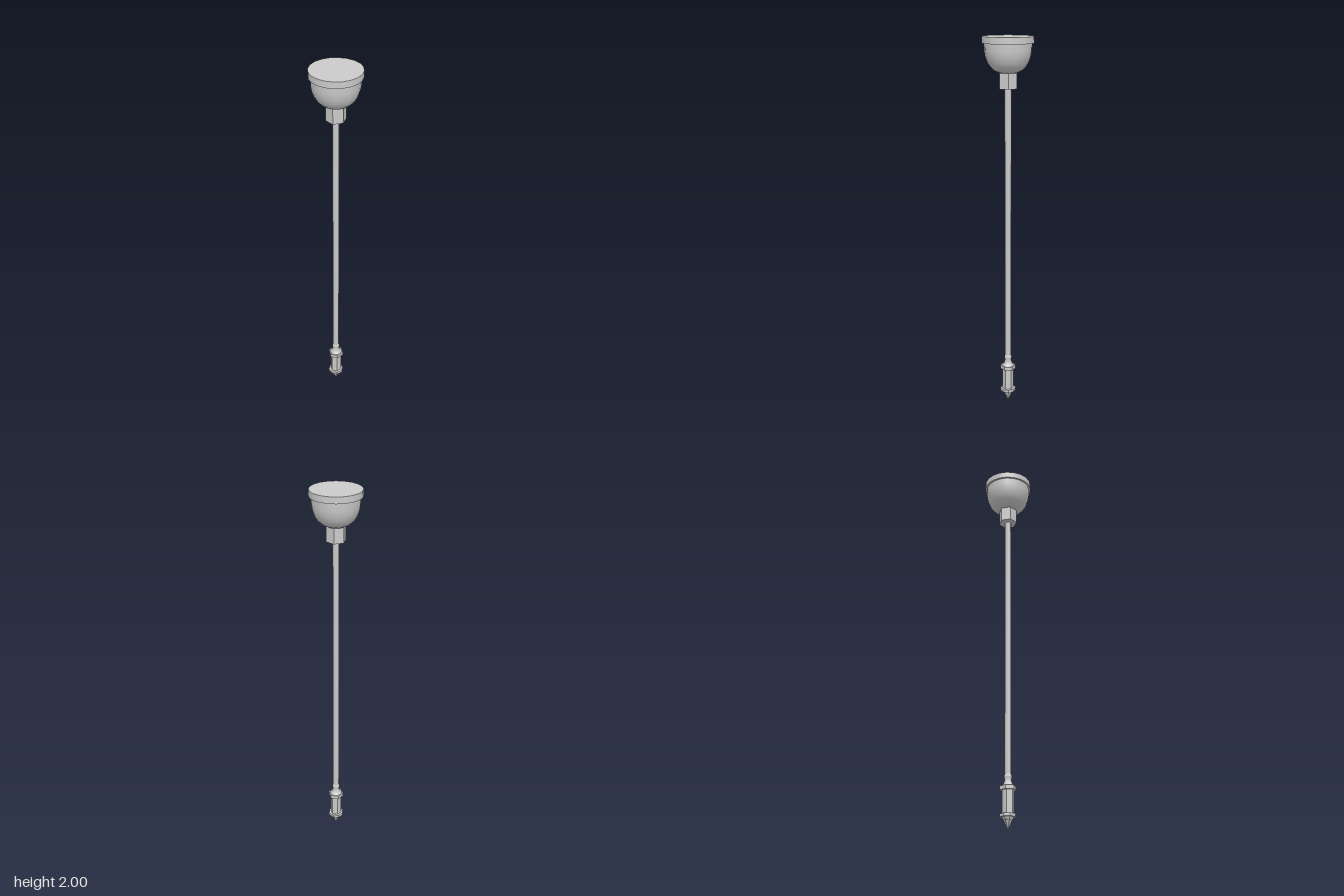
import * as THREE from 'three';

const smooth = new THREE.MeshStandardMaterial({ color: 0xcccccc });
const faceted = new THREE.MeshStandardMaterial({ color: 0xcccccc, flatShading: true });

export function createModel() {
  const group = new THREE.Group();

  const add = (name, geometry, material) => {
    const mesh = new THREE.Mesh(geometry, material);
    mesh.name = name;
    group.add(mesh);
    return mesh;
  };

  // Upright prism or cone between two heights
  const prism = (name, rTop, rBottom, y0, y1, sides, material = faceted, turn = 0) => {
    const geometry = new THREE.CylinderGeometry(rTop, rBottom, y1 - y0, sides, 1, false, turn);
    add(name, geometry, material).position.y = (y0 + y1) / 2;
  };

  // Turned part from [radius, height] pairs, listed bottom to top
  const lathe = (name, profile, sides) =>
    add(name, new THREE.LatheGeometry(profile.map(([r, y]) => new THREE.Vector2(r, y)), sides), smooth);

  // Ceiling canopy: rim plate, rounded bowl and hexagonal collar
  prism('canopyRim', 0.132, 0.132, 1.966, 2, 20, smooth);
  lathe('canopyBowl', [
    [0, 1.818], [0.05, 1.82], [0.073, 1.832], [0.092, 1.85], [0.106, 1.872],
    [0.116, 1.9], [0.121, 1.93], [0.122, 1.968],
  ], 20);
  prism('collar', 0.051, 0.051, 1.74, 1.825, 6, faceted, Math.PI / 6);

  // Long hanging rod
  prism('rod', 0.017, 0.017, 0.25, 1.75, 8, smooth);

  // Bead and flared neck above the finial
  lathe('neck', [
    [0.034, 0.212], [0.026, 0.219], [0.02, 0.232], [0.017, 0.247],
    [0.02, 0.256], [0.021, 0.264], [0.016, 0.275],
  ], 12);

  // Hexagonal finial body between two flanges
  prism('upperFlange', 0.042, 0.042, 0.193, 0.213, 6);
  prism('finialBody', 0.031, 0.031, 0.07, 0.195, 6);
  prism('lowerFlange', 0.042, 0.042, 0.06, 0.075, 8);

  // Stepped pointed tip
  prism('tipStep', 0.032, 0.026, 0.046, 0.061, 8);
  prism('tip', 0.024, 0.002, 0, 0.047, 8);

  return group;
}
